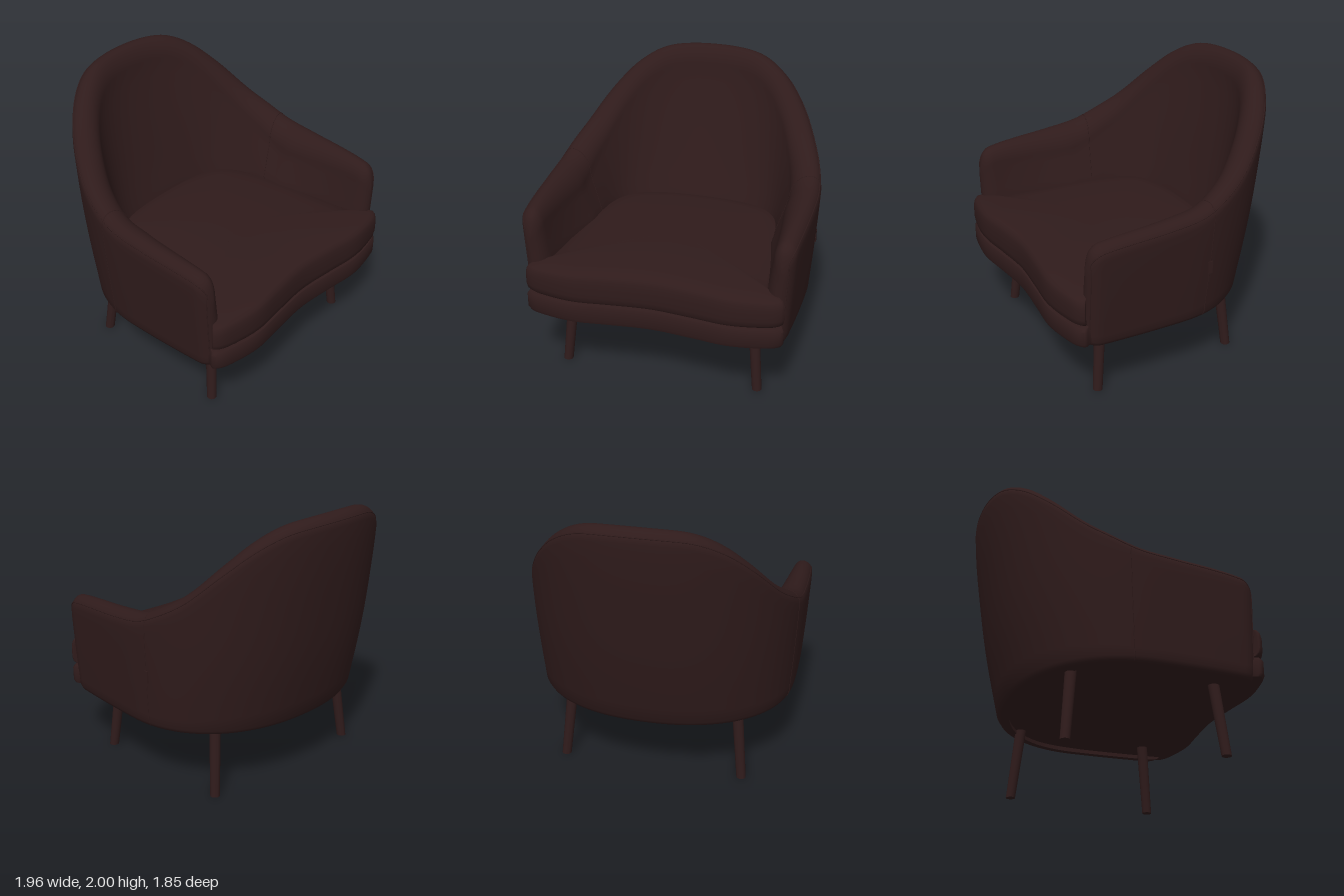
import * as THREE from 'three';
import { toCreasedNormals } from 'three/addons/utils/BufferGeometryUtils.js';

const material = new THREE.MeshStandardMaterial({ color: 0x2f1b1b });

// Smooth function through a few (x, y) pairs, clamped at the ends
function curve(pairs) {
  const xs = pairs.map(p => p[0]), ys = pairs.map(p => p[1]);
  const f = new THREE.CubicInterpolant(xs, ys, 1, [0]);
  return x => f.evaluate(THREE.MathUtils.clamp(x, xs[0], xs[xs.length - 1] - 1e-5))[0];
}

// Skin over a list of closed rings, with fan caps on both ends
function loft(rings) {
  const n = rings[0].length, last = rings.length - 1;
  const pts = rings.flat(), idx = [];
  for (let i = 0; i < last; i++) {
    for (let j = 0; j < n; j++) {
      const k = (j + 1) % n;
      const a = i * n + j, b = i * n + k, c = b + n, d = a + n;
      idx.push(a, b, c, a, c, d);
    }
  }
  for (const i of [0, last]) {
    const c = pts.length;
    pts.push(rings[i].reduce((s, p) => s.add(p), new THREE.Vector3()).divideScalar(n));
    for (let j = 0; j < n; j++) {
      const a = i * n + j, b = i * n + (j + 1) % n;
      if (i === 0) idx.push(c, b, a); else idx.push(c, a, b);
    }
  }
  const g = new THREE.BufferGeometry().setFromPoints(pts);
  g.setIndex(idx);
  return toCreasedNormals(g, 0.7);
}

// ---- Shell: a U-shaped wall whose plan and height change along the way ----
const Z0 = 0.1, BOTTOM = 0.48, SEAT = 0.88, POWER = 2.22, SEAM = 0.19;
const backZ = curve([[0.48, -0.69], [0.97, -0.80], [1.4, -0.87], [1.7, -0.91], [1.95, -0.93]]);
const halfWidth = curve([[0.48, 0.935], [0.84, 0.962], [1.24, 0.983], [2, 0.985]]);
const rimY = curve([[-0.86, 2.0], [-0.8, 1.97], [-0.7, 1.865], [-0.6, 1.74], [-0.4, 1.515], [-0.2, 1.385],
  [-0.05, 1.32], [0.2, 1.285], [0.5, 1.262], [0.66, 1.245], [0.74, 1.225], [0.78, 1.19], [0.8, 1.125]]);

// Rounded (superelliptic) sine and cosine of the plan angle
const round = (v, e) => Math.sign(v) * Math.abs(v) ** e;

// Outer point and inward direction: z runs along the arms, theta around the back
function wall(z, theta, y) {
  const c = round(Math.cos(theta), 2 / POWER), s = round(Math.sin(theta), 2 / POWER);
  const f = (z - Z0) / 0.7;
  const a = halfWidth(y) - 0.03 * f * f, b = Z0 - backZ(y);
  const nx = -round(c, POWER - 1) / a, nz = round(s, POWER - 1) / b, l = Math.hypot(nx, nz);
  return { x: a * c, z: z - b * s, nx: nx / l, nz: nz / l };
}

// Cross-section: up the outside, over the soft rim, down the inside
function section({ z, theta, inset }) {
  const s = Math.sin(theta), f = (z - Z0) / 0.7;
  const top = rimY(z - 0.95 * round(s, 2 / POWER)) - inset;
  const crest = 0.08, outerH = 0.09;
  const innerW = 0.15 - 0.06 * s - 0.09 * f, innerH = 0.18 - 0.02 * s - 0.07 * f;
  const seatW = 0.30 + 0.03 * s - 0.07 * Math.sin(2 * theta) ** 2 - 0.15 * f;
  const low = BOTTOM + inset * 0.5;
  const out = [];
  const add = (y, depth) => {
    const p = wall(z, theta, y);
    out.push(new THREE.Vector3(p.x + p.nx * depth, y, p.z + p.nz * depth));
  };
  add(low, inset + 0.038);
  add(low + 0.013, inset + 0.012);
  for (let i = 0; i <= 12; i++) add(THREE.MathUtils.lerp(low + 0.04, top - outerH, i / 12), inset);
  for (let i = 1; i <= 6; i++) {
    const t = Math.PI / 2 * i / 6;
    add(top - outerH * (1 - Math.sin(t)), crest - (crest - inset) * Math.cos(t));
  }
  const shoulder = top - innerH;
  for (let i = 1; i < 9; i++) {
    const t = Math.PI / 2 * i / 9;
    add(shoulder + innerH * Math.cos(t), crest + (innerW - inset) * Math.sin(t));
  }
  for (let i = 0; i <= 12; i++) {
    const y = THREE.MathUtils.lerp(shoulder, 0.66, i / 12);
    const v = Math.min(1, (shoulder - y) / (shoulder - SEAT));
    add(y, THREE.MathUtils.lerp(crest + innerW, seatW, v) - inset);
  }
  add(0.6, 0.1 - inset * 0.2);
  add(low, 0.085);
  return out;
}

function shellStations() {
  const arm = [];
  for (let i = 0; i < 14; i++) arm.push({ z: Z0 + 0.6 * i / 14, inset: 0 });
  for (let i = 0; i <= 10; i++) {
    const t = Math.PI / 2 * i / 10;
    arm.push({ z: 0.7 + 0.1 * Math.sin(t), inset: 0.07 * (1 - Math.cos(t)) });
  }
  const back = [];
  for (let i = 1; i < 64; i++) back.push({ z: Z0, theta: Math.PI * (1 - i / 64), inset: 0 });
  return [
    ...arm.map(a => ({ ...a, theta: Math.PI })).reverse(),
    ...back,
    ...arm.map(a => ({ ...a, theta: 0 })),
  ];
}

// ---- Cushions: a spline outline stacked in scaled layers [scale, y, crown] ----
const FRONT = [[0, 0.875], [0.3, 0.9], [0.55, 0.925], [0.75, 0.9], [0.87, 0.865], [0.91, 0.825]];

function cushion(sides, layers) {
  const half = [...FRONT, ...sides];
  const mirrored = half.slice(1, -1).reverse().map(([x, z]) => [-x, z]);
  const path = new THREE.CatmullRomCurve3(
    [...half, ...mirrored].map(([x, z]) => new THREE.Vector3(x, 0, z)), true);
  const outline = path.getPoints(140).slice(0, -1);
  return loft(layers.map(([k, y, crown = 0]) => outline.map(p =>
    new THREE.Vector3(p.x * k, y + crown * (1 - (p.x * k / 0.9) ** 2), 0.2 + (p.z - 0.2) * k))));
}

export function createModel() {
  const chair = new THREE.Group();
  chair.name = 'armchair';
  const add = (name, geometry) => {
    const mesh = new THREE.Mesh(geometry, material);
    mesh.name = name;
    chair.add(mesh);
    return mesh;
  };

  // Back and arms
  const stations = shellStations();
  const rings = stations.map(section);
  add('backAndArms', loft(rings));

  // Piping along the outer rim and down the front edge of each arm
  const piped = rings.filter((r, i) => stations[i].inset < 0.03);
  const drop = r => r.slice(2, 15);
  const rim = new THREE.CatmullRomCurve3([
    ...drop(piped[0]), ...piped.map(r => r[16]), ...drop(piped[piped.length - 1]).reverse()]);
  add('rimPiping', new THREE.TubeGeometry(rim, 320, 0.004, 6));

  // Seams where the arms join the back
  for (const [name, theta] of [['leftSeam', SEAM], ['rightSeam', Math.PI - SEAM]]) {
    const line = new THREE.CatmullRomCurve3(section({ z: Z0, theta, inset: 0 }).slice(1, -2));
    add(name, new THREE.TubeGeometry(line, 100, 0.003, 6));
  }

  // Small fabric tab on the left seam
  const p = wall(Z0, SEAM, 0.88);
  add('sideTab', new THREE.BoxGeometry(0.016, 0.09, 0.035)).position.set(p.x, 0.88, p.z);

  // Seat cushion, gently crowned
  add('seatCushion', cushion(
    [[0.86, 0.79], [0.8, 0.72], [0.77, 0.5], [0.75, 0.1], [0.7, -0.2], [0.58, -0.44], [0.3, -0.53], [0, -0.55]],
    [[0.93, 0.66], [0.975, 0.667], [0.993, 0.685], [1, 0.72], [1, 0.8], [0.993, 0.835, 0.01],
      [0.98, 0.855, 0.02], [0.95, 0.868, 0.026], [0.8, 0.88, 0.032], [0.5, 0.89, 0.036], [0.2, 0.893, 0.036]]));

  // Base under the cushion, closing the underside
  add('seatBase', cushion(
    [[0.89, 0.77], [0.885, 0.4], [0.87, 0.1], [0.82, -0.2], [0.66, -0.45], [0.37, -0.59], [0, -0.64]],
    [[0.97, 0.508], [0.988, 0.512], [1, 0.535], [1, 0.63], [0.985, 0.65], [0.96, 0.655]]));

  // Splayed, tapered legs with level feet
  const legs = [
    ['front', 0.662, 0.707, 0.59, 0.637],
    ['rear', 0.612, 0.66, -0.405, -0.453],
  ];
  for (const [row, topX, footX, topZ, footZ] of legs) {
    for (const [side, sx] of [['Left', 1], ['Right', -1]]) {
      const g = new THREE.CylinderGeometry(0.04, 0.034, 0.54, 20);
      g.translate(0, 0.27, 0);
      const pos = g.attributes.position;
      for (let i = 0; i < pos.count; i++) {
        const t = pos.getY(i) / 0.5;
        pos.setX(i, pos.getX(i) + sx * THREE.MathUtils.lerp(footX, topX, t));
        pos.setZ(i, pos.getZ(i) + THREE.MathUtils.lerp(footZ, topZ, t));
      }
      add(row + side + 'Leg', toCreasedNormals(g, 0.7));
    }
  }
  return chair;
}
